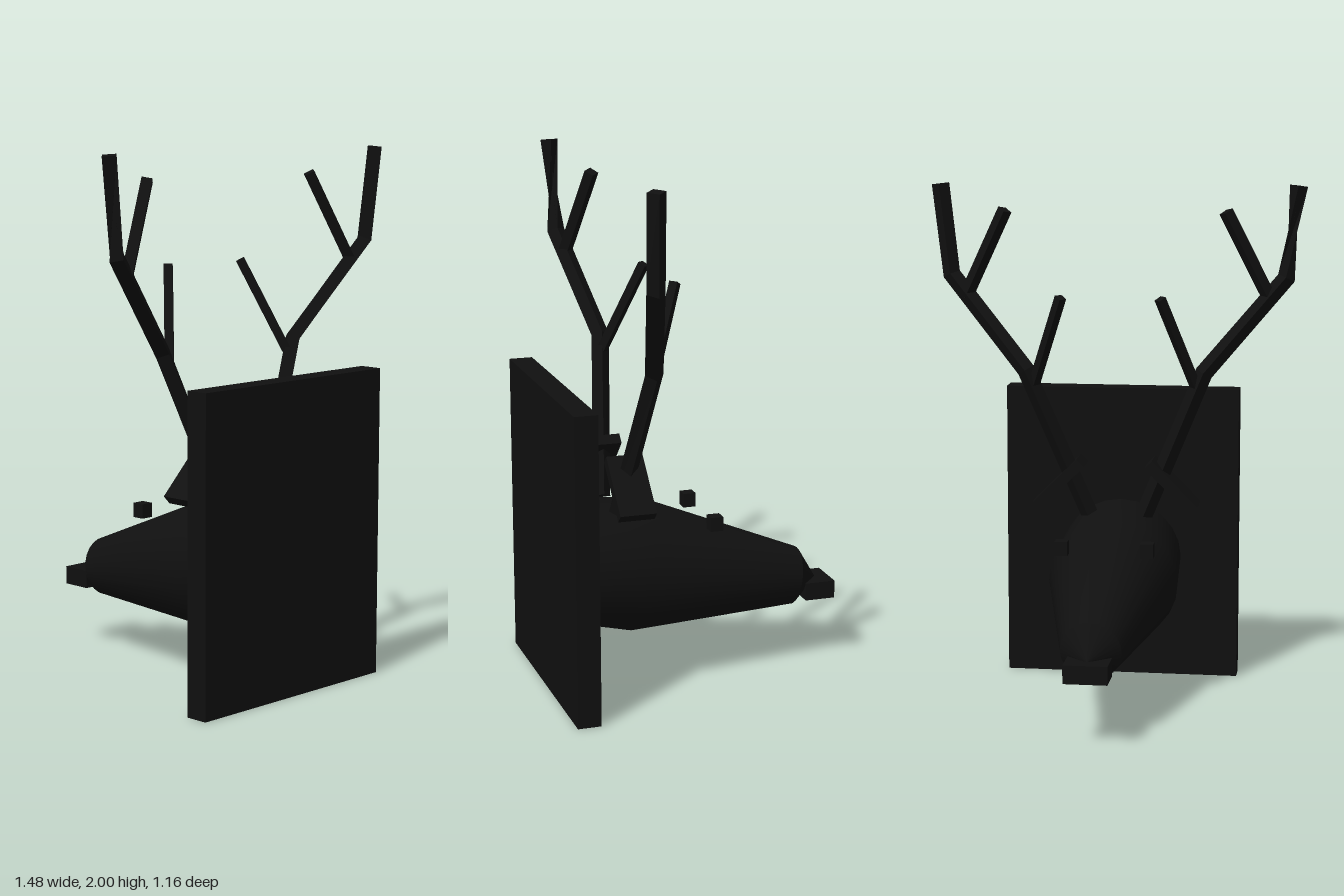
import * as THREE from 'three';
import { toCreasedNormals } from 'three/addons/utils/BufferGeometryUtils.js';

// Square-section branch through points [x, y, z]; endTwist turns the last section
function branch(points, radius, endTwist = 0) {
  const p = points.map(q => new THREE.Vector3(...q));
  const last = p.length - 1;
  const pos = [], index = [];
  p.forEach((c, i) => {
    const t = new THREE.Vector3();
    if (i > 0) t.add(c.clone().sub(p[i - 1]).normalize());
    if (i < last) t.add(p[i + 1].clone().sub(c).normalize());
    t.normalize();
    const a = new THREE.Vector3(1, 0, 0).addScaledVector(t, -t.x).normalize();
    const b = t.clone().cross(a);
    for (let k = 0; k < 4; k++) {
      const ang = k * Math.PI / 2 + (i === last ? endTwist : 0);
      const v = c.clone().addScaledVector(a, radius * Math.cos(ang)).addScaledVector(b, radius * Math.sin(ang));
      pos.push(v.x, v.y, v.z);
      if (i < last) {
        const m = i * 4 + k, n = i * 4 + (k + 1) % 4;
        index.push(m, n, n + 4, m, n + 4, m + 4);
      }
    }
  });
  const e = last * 4;
  index.push(0, 2, 1, 0, 3, 2, e, e + 1, e + 2, e, e + 2, e + 3);
  const g = new THREE.BufferGeometry();
  g.setAttribute('position', new THREE.Float32BufferAttribute(pos, 3));
  g.setIndex(index);
  const flat = g.toNonIndexed();
  flat.computeVertexNormals();
  return flat;
}

export function createModel() {
  const model = new THREE.Group();
  model.name = 'mountedStagHead';
  const black = new THREE.MeshStandardMaterial({ color: 0x101010 });
  black.name = 'matteBlack';

  const add = (name, geometry, x = 0, y = 0, z = 0, parent = model) => {
    const mesh = new THREE.Mesh(geometry, black);
    mesh.name = name;
    mesh.position.set(x, y, z);
    parent.add(mesh);
    return mesh;
  };

  // Wall plaque
  add('plaque', new THREE.BoxGeometry(0.94, 1.18, 0.09), 0, 0.59, 0.535);

  // Head: tapered round form pointing to -z and slightly down
  const profile = [[0, -0.285], [0.24, -0.285], [0.256, 0], [0.115, 0.65], [0, 0.75]];
  const headShape = new THREE.LatheGeometry(profile.map(q => new THREE.Vector2(...q)), 24);
  const head = add('head', toCreasedNormals(headShape, 0.5), 0, 0.447, 0.21);
  head.rotation.x = -(Math.PI / 2 + 0.175);

  // Nose
  add('nose', new THREE.BoxGeometry(0.165, 0.07, 0.12), 0, 0.285, -0.52);

  for (const s of [1, -1]) {
    const side = s > 0 ? 'left' : 'right';

    // Eye
    add(side + 'Eye', new THREE.BoxGeometry(0.05, 0.055, 0.05), s * 0.165, 0.637, -0.052);

    // Drooping ear
    const ear = add(side + 'Ear', new THREE.BoxGeometry(0.255, 0.042, 0.14), s * 0.225, 0.825, 0.3);
    ear.rotation.z = -s * Math.PI / 4;

    // Antler: bent beam with two tines
    const antler = new THREE.Group();
    antler.name = side + 'Antler';
    model.add(antler);
    const path = pts => pts.map(([x, y, z]) => [s * x, y, z]);
    add('beam', branch(path([[0.11, 0.7, 0.315], [0.35, 1.28, 0.245], [0.66, 1.645, 0.335], [0.703, 2, 0.345]]),
      0.035, s < 0 ? Math.PI / 2 : 0), 0, 0, 0, antler);
    add('lowerTine', branch(path([[0.32, 1.22, 0.25], [0.192, 1.58, 0.115]]), 0.023), 0, 0, 0, antler);
    add('upperTine', branch(path([[0.6, 1.56, 0.318], [0.43, 1.905, 0.25]]), 0.028), 0, 0, 0, antler);
  }
  return model;
}
